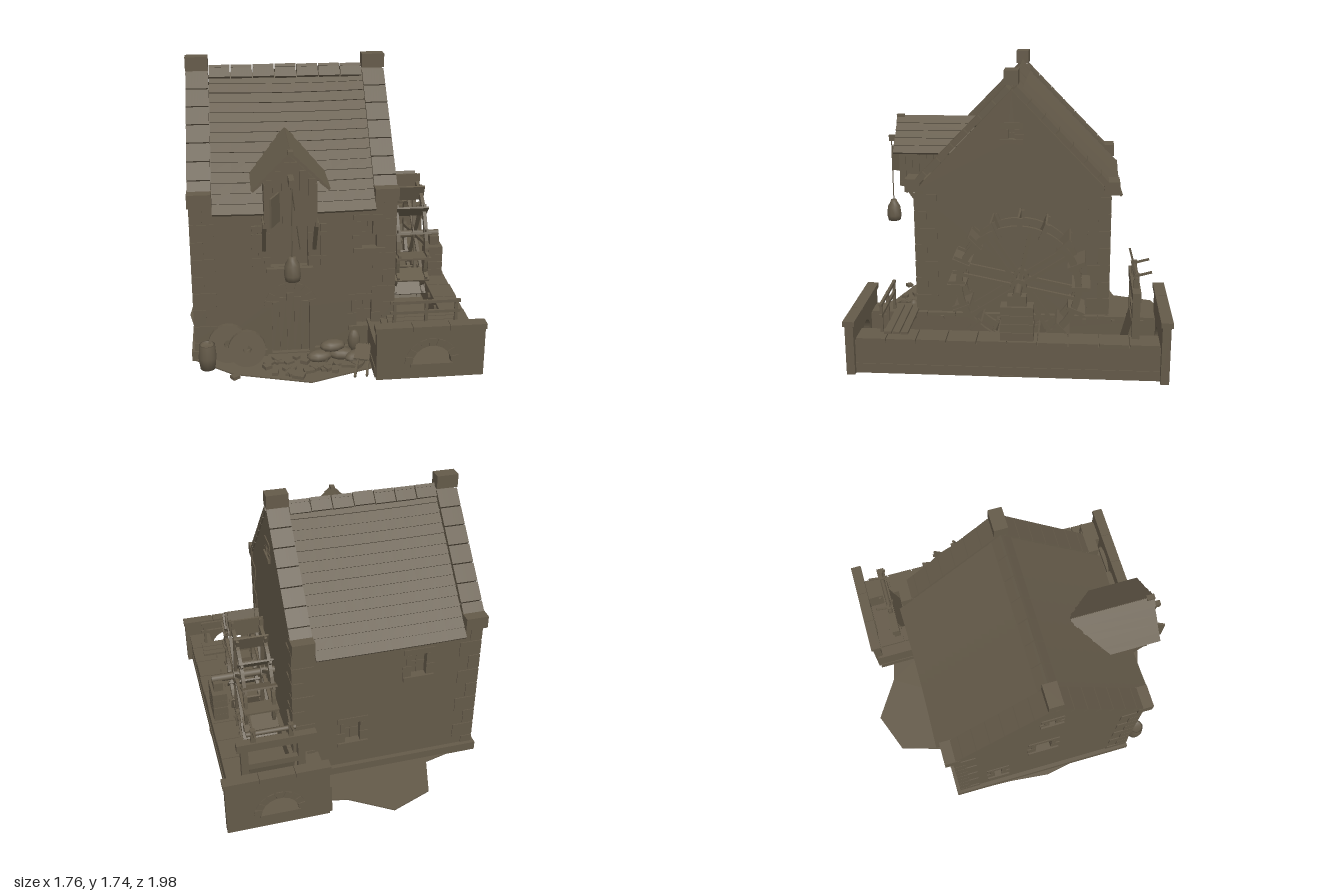
import * as THREE from 'three';

const stone = new THREE.MeshStandardMaterial({ color: 0x645a49 });
stone.name = 'weathered brown';

let seed = 7;
const rnd = () => (seed = (seed * 16807) % 2147483647) / 2147483647;
const jit = (a) => (rnd() - 0.5) * 2 * a;

function add(parent, name, geo, x = 0, y = 0, z = 0, rx = 0, ry = 0, rz = 0) {
  const m = new THREE.Mesh(geo, stone);
  m.name = name;
  m.position.set(x, y, z);
  m.rotation.set(rx, ry, rz);
  parent.add(m);
  return m;
}
const box = (p, name, w, h, d, ...t) => add(p, name, new THREE.BoxGeometry(w, h, d), ...t);
// Box given by its extents
const span = (p, name, x0, x1, y0, y1, z0, z1) =>
  box(p, name, x1 - x0, y1 - y0, z1 - z0, (x0 + x1) / 2, (y0 + y1) / 2, (z0 + z1) / 2);
// Square or round bar between two points
function bar(p, name, a, b, t, round = false) {
  const A = new THREE.Vector3(...a), B = new THREE.Vector3(...b), len = A.distanceTo(B);
  const geo = round ? new THREE.CylinderGeometry(t / 2, t / 2, len, 8) : new THREE.BoxGeometry(t, len, t);
  const m = add(p, name, geo);
  m.position.copy(A).add(B).multiplyScalar(0.5);
  m.quaternion.setFromUnitVectors(new THREE.Vector3(0, 1, 0), B.sub(A).normalize());
  return m;
}
const poly = (pts) => new THREE.Shape(pts.map(([x, y]) => new THREE.Vector2(x, y)));
const extrude = (shape, depth) => new THREE.ExtrudeGeometry(shape, { depth, bevelEnabled: false, curveSegments: 12 });
const group = (parent, name) => {
  const g = new THREE.Group();
  g.name = name;
  parent.add(g);
  return g;
};

// Opening: rectangle, or half-round head when arch is set
function hole({ x, y, w, h, arch }) {
  const p = new THREE.Path(), r = w / 2;
  p.moveTo(x - r, y);
  p.lineTo(x + r, y);
  if (arch) p.absarc(x, y + h - r, r, 0, Math.PI, false);
  else { p.lineTo(x + r, y + h); p.lineTo(x - r, y + h); }
  p.closePath();
  return p;
}
// Ring of arch stones
function voussoirs(p, x, y, r, n) {
  for (let i = 0; i < n; i++) {
    const a = ((i + 0.5) / n) * Math.PI;
    box(p, 'archStone', 0.045, (Math.PI * r) / n, 0.012, x + Math.cos(a) * (r + 0.022), y + Math.sin(a) * (r + 0.022), 0, 0, 0, a);
  }
}
// Wall panel in its own xy plane, outward is +z
function wall(parent, name, outline, openings, x, z, ry) {
  const g = group(parent, name);
  g.position.set(x, 0, z);
  g.rotation.y = ry;
  const s = poly(outline);
  openings.forEach((o) => s.holes.push(hole(o)));
  add(g, name + 'Panel', extrude(s, 0.05), 0, 0, -0.05);
  for (const o of openings) {
    if (o.plain) continue;
    const { x: cx, y, w, h } = o;
    span(g, 'sill', cx - w / 2 - 0.05, cx + w / 2 + 0.05, y - 0.03, y, -0.03, 0.016);
    span(g, 'lintel', cx - w / 2 - 0.05, cx + w / 2 + 0.05, y + h, y + h + 0.04, -0.03, 0.006);
    for (const k of [-1, 1]) for (let i = 0; i < 2; i++)
      box(g, 'jambStone', i ? 0.03 : 0.055, h / 2 - 0.004, 0.012, cx + k * (w / 2 + (i ? 0.015 : 0.027)), y + h * (0.25 + i / 2), 0);
    box(g, 'windowBar', 0.01, h, 0.01, cx, y + h / 2, -0.04);
    box(g, 'windowBar', w, 0.01, 0.01, cx, y + h / 2, -0.04);
  }
  return g;
}

const RZ = 0.03, RY = 1.66, SLOPE = 1.03, ANG = Math.atan(SLOPE);
// Slab on the main roof from s0 to s1 (horizontal distance from the ridge)
function roofSlab(p, name, side, x0, x1, s0, s1, drop, t, kick = 0, sag = 0) {
  const s = (s0 + s1) / 2, geo = new THREE.BoxGeometry(x1 - x0, t, (s1 - s0) * Math.hypot(1, SLOPE), 8, 1, 1);
  const pos = geo.attributes.position;
  for (let i = 0; i < pos.count; i++) {
    const u = (2 * pos.getX(i)) / (x1 - x0);
    pos.setY(i, pos.getY(i) - sag * (1 - u * u));
  }
  geo.computeVertexNormals();
  add(p, name, geo, (x0 + x1) / 2, RY - s * SLOPE - drop, RZ + side * s, side * (ANG - kick));
}

function buildHouse(root) {
  const g = group(root, 'house');
  const gable = (k, i) => [[k * -0.57 + i, 0], [k * 0.625 - i, 0], [k * 0.625 - i, 1.0], [k * RZ, 1.625 - i * k], [k * -0.57 + i, 1.0]];
  // Solid inside that closes the recessed openings
  add(g, 'innerCore', extrude(poly([[-0.53, 0], [0.585, 0], [0.585, 1], [RZ, 1.56], [-0.53, 1]]), 1.12), 0.34, 0, 0, 0, -Math.PI / 2);
  const rect = (a, b) => [[a, 0], [b, 0], [b, 1], [a, 1]];
  const front = wall(g, 'frontWall', rect(-0.82, 0.38), [
    { x: -0.245, y: 0.015, w: 0.23, h: 0.425, arch: true, plain: true },
    { x: -0.25, y: 0.59, w: 0.22, h: 0.27, plain: true },
    { x: 0.225, y: 0.69, w: 0.09, h: 0.17 }, { x: 0.2, y: 0.18, w: 0.09, h: 0.17 }], 0, 0.625, 0);
  wall(g, 'backWall', rect(-0.38, 0.82), [
    { x: 0.42, y: 0.68, w: 0.1, h: 0.16 }, { x: 0.0, y: 0.24, w: 0.1, h: 0.15 }], 0, -0.57, Math.PI);
  wall(g, 'leftGable', gable(1, 0), [
    { x: 0, y: 0.69, w: 0.1, h: 0.18 }, { x: -0.3, y: 0.24, w: 0.05, h: 0.17 },
    { x: RZ, y: 1.33, w: 0.04, h: 0.07 }], -0.82, 0, -Math.PI / 2);
  wall(g, 'rightGable', [[-0.625, 0], [0.57, 0], [0.57, 1], [-RZ, 1.625], [-0.625, 1]], [
    { x: -RZ, y: 1.33, w: 0.04, h: 0.06 }], 0.38, 0, Math.PI / 2);

  // Arched plank door, shutters, tie plates
  voussoirs(front, -0.245, 0.325, 0.115, 9);
  for (let i = 0; i < 5; i++)
    box(front, 'doorPlank', 0.042, 0.4 - Math.abs(i - 2) * 0.028, 0.01, -0.333 + i * 0.044, 0.2 - Math.abs(i - 2) * 0.014, -0.033);
  for (const k of [-1, 1]) {
    for (let i = 0; i < 3; i++) box(front, 'shutterPlank', 0.034, 0.26, 0.016, -0.25 + k * (0.128 + i * 0.037), 0.727, 0.01);
    for (const y of [0.65, 0.8]) box(front, 'shutterBatten', 0.11, 0.02, 0.008, -0.25 + k * 0.165, y, 0.02);
  }
  span(front, 'hatchSill', -0.385, -0.11, 0.56, 0.588, -0.03, 0.03);
  for (const x of [-0.65, 0.02]) box(front, 'tiePlate', 0.035, 0.03, 0.01, x, 0.91, 0.002);

  // Corner stones and plinth
  for (const kx of [-1, 1]) for (const kz of [-1, 1]) for (let i = 0; i < 9; i++) {
    const a = i % 2 ? 0.14 : 0.075, b = i % 2 ? 0.075 : 0.14;
    const x = kx < 0 ? -0.826 + a / 2 : 0.386 - a / 2, z = kz < 0 ? -0.576 + b / 2 : 0.631 - b / 2;
    box(g, 'cornerStone', a, 0.1, b, x, 0.06 + i * 0.109, z);
  }
  span(g, 'frontPlinthLeft', -0.845, -0.39, 0, 0.05, 0.55, 0.645);
  span(g, 'frontPlinthRight', -0.1, 0.38, 0, 0.05, 0.55, 0.645);
  span(g, 'backPlinth', -0.845, 0.38, 0, 0.06, -0.6, -0.5);
  span(g, 'leftPlinth', -0.845, -0.78, 0, 0.06, -0.6, 0.645);

  // Sagging tile rows, coping, kneelers, ridge
  const roof = group(g, 'roof');
  for (const side of [-1, 1]) {
    for (let i = 0; i < 14; i++) {
      const s = 0.01 + i * 0.0465;
      roofSlab(roof, 'tileRow', side, -0.69, 0.25, s, s + 0.056, 0.016 + jit(0.002), 0.018, 0.09, 0.012);
    }
    for (const x0 of [-0.83, 0.25]) {
      for (let i = 0; i < 7; i++) roofSlab(roof, 'copingStone', side, x0, x0 + 0.135, 0.02 + i * 0.085, 0.1 + i * 0.085, 0.005, 0.036);
      box(roof, 'kneeler', 0.14, 0.08, 0.095, x0 + 0.068, 1.035, RZ + side * 0.607);
    }
    for (let i = 0; i < 7; i++) roofSlab(roof, 'ridgeTile', side, -0.69 + i * 0.1343, -0.562 + i * 0.1343, -0.008, 0.052, -0.006 + jit(0.003), 0.02);
  }
  for (const x of [-0.762, 0.317]) box(roof, 'gableCap', 0.138, 0.085, 0.085, x, 1.698, 0.032);
}

function buildHoistHouse(root) {
  const g = group(root, 'hoistHouse'), cx = -0.25;
  add(g, 'body', extrude(poly([[-0.14, 0.915], [0.14, 0.915], [0.14, 1.18], [0, 1.32], [-0.14, 1.18]]), 0.45), cx, 0, 0.34);
  for (let i = 0; i < 6; i++) {
    const x = -0.125 + i * 0.05, top = 1.315 - Math.abs(x), low = 0.915 + jit(0.01);
    box(g, 'frontPlank', 0.045, top - low, 0.012, cx + x, (top + low) / 2, 0.795);
    for (const k of [-1, 1]) box(g, 'sidePlank', 0.01, 0.25, 0.042, cx + k * 0.144, 1.04, 0.56 + i * 0.046);
  }
  for (const k of [-1, 1]) {
    for (let i = 0; i < 5; i++) {
      const d = 0.022 + i * 0.042;
      box(g, 'roofBoard', 0.066, 0.014, 0.52 + jit(0.006), cx + k * d, 1.352 - d, 0.58, 0, 0, -k * (Math.PI / 4 - 0.08));
    }
    box(g, 'post', 0.022, 0.15, 0.02, cx + k * 0.148, 0.845, 0.64);
    bar(g, 'bracket', [cx + k * 0.148, 0.7, 0.63], [cx + k * 0.148, 0.92, 0.78], 0.022);
    box(g, 'floorBeam', 0.022, 0.025, 0.2, cx + k * 0.148, 0.92, 0.71);
  }
  // Open hatch door, hoist beam, rope and sack
  box(g, 'hatchDoor', 0.012, 0.17, 0.12, -0.342, 1.035, 0.857, 0, -0.45);
  box(g, 'hoistBeam', 0.03, 0.04, 0.16, cx, 1.2, 0.825);
  box(g, 'ridgeEnd', 0.03, 0.025, 0.05, cx, 1.35, 0.82);
  bar(g, 'rope', [cx, 1.19, 0.89], [cx, 0.76, 0.89], 0.007, true);
  bar(g, 'tailRope', [cx, 1.18, 0.87], [-0.19, 0.72, 0.68], 0.006, true);
  const sack = [[0, 0.62], [0.042, 0.625], [0.05, 0.66], [0.043, 0.72], [0.025, 0.75], [0.02, 0.768], [0, 0.768]];
  add(g, 'hangingSack', new THREE.LatheGeometry(sack.map(([r, y]) => new THREE.Vector2(r, y)), 10), cx, 0, 0.89);
}

function buildRace(root) {
  const g = group(root, 'millRace');
  span(g, 'floor', 0.22, 0.83, 0, 0.06, -0.9, 0.94);
  span(g, 'outerWall', 0.69, 0.825, 0, 0.2, -0.9, 0.94);
  span(g, 'innerWall', 0.225, 0.4, 0, 0.2, -0.9, 0.94);
  for (let i = 0; i < 10; i++) {
    const z = -0.86 + i * 0.178;
    span(g, 'outerCoping', 0.685, 0.832 + jit(0.004), 0.195, 0.222, z, z + 0.172);
    span(g, 'innerCoping', 0.3, 0.41, 0.195, 0.218, z, z + 0.172);
    for (const x of [0.418, 0.682]) box(g, 'peg', 0.02, 0.025, 0.02, x, 0.19, z + 0.08);
  }
  // End walls with arched openings
  for (const [z, k, h] of [[0.972, 1, 0.31], [-0.915, -1, 0.36]]) {
    const e = group(g, k > 0 ? 'frontEndWall' : 'backEndWall');
    e.position.z = z;
    if (k < 0) { e.rotation.y = Math.PI; e.position.x = 1.1; }
    const s = poly([[0.225, 0], [0.86, 0], [0.86, h], [0.225, h]]);
    s.holes.push(hole({ x: 0.55, y: 0.09, w: 0.23, h: 0.12, arch: true }));
    add(e, 'endPanel', extrude(s, 0.05), 0, 0, -0.05);
    voussoirs(e, 0.55, 0.095, 0.115, 9);
    box(e, 'archSill', 0.25, 0.02, 0.03, 0.55, 0.085, -0.005);
    for (let i = 0; i < 3; i++) span(e, 'capStone', 0.215 + i * 0.218, 0.43 + i * 0.218, h - 0.005, h + 0.026, -0.06, 0.01);
  }
  // Plank bridge with rail
  for (const z of [0.64, 0.69, 0.74]) box(g, 'bridgePlank', 0.43, 0.015, 0.043, 0.55 + jit(0.01), 0.231, z);
  for (const x of [0.36, 0.55, 0.73]) box(g, 'railPost', 0.018, 0.19, 0.018, x, 0.31, 0.78);
  for (const y of [0.33, 0.395]) box(g, 'rail', 0.42, 0.018, 0.016, 0.545, y, 0.78);
  // Sluice gate
  const s = group(g, 'sluice');
  for (const x of [0.37, 0.72]) box(s, 'sluicePost', 0.045, 0.32, 0.045, x, 0.35, -0.722);
  box(s, 'sluiceBeam', 0.49, 0.055, 0.05, 0.52, 0.485, -0.722);
  box(s, 'lowerBeam', 0.36, 0.04, 0.035, 0.545, 0.33, -0.722);
  box(s, 'gateBoard', 0.28, 0.24, 0.02, 0.55, 0.18, -0.68, -0.25);
  bar(s, 'windlass', [0.4, 0.57, -0.722], [0.7, 0.57, -0.722], 0.03, true);
  for (const x of [0.43, 0.66]) {
    box(s, 'windlassStand', 0.03, 0.1, 0.03, x, 0.55, -0.722);
    bar(s, 'lever', [x, 0.57, -0.72], [x + 0.01, 0.68, -0.69], 0.012);
    bar(s, 'lever', [x, 0.585, -0.72], [x, 0.61, -0.81], 0.012);
  }
}

function buildWheel(root) {
  const g = group(root, 'waterWheel');
  g.position.set(0.55, 0.495, -0.03);
  const ring = new THREE.Shape().absarc(0, 0, 0.375, 0, Math.PI * 2);
  ring.holes.push(new THREE.Path().absarc(0, 0, 0.335, 0, Math.PI * 2));
  const rim = new THREE.ExtrudeGeometry(ring, { depth: 0.022, bevelEnabled: false, curveSegments: 24 });
  for (const x of [-0.1, 0.078]) {
    add(g, 'rim', rim, x, 0, 0, 0, Math.PI / 2);
    for (let i = 0; i < 8; i++) {
      const a = (i / 8) * Math.PI * 2 + 0.2;
      bar(g, 'spoke', [x + 0.011, Math.sin(a) * 0.03, Math.cos(a) * 0.03], [x + 0.011, Math.sin(a) * 0.34, Math.cos(a) * 0.34], 0.02);
    }
    add(g, 'hub', new THREE.CylinderGeometry(0.05, 0.05, 0.035, 8), x + 0.011, 0, 0, 0, 0, Math.PI / 2);
  }
  for (let i = 0; i < 16; i++) {
    const a = (i / 16) * Math.PI * 2;
    box(g, 'paddle', 0.22, 0.012, 0.11, 0, Math.sin(a) * 0.37, Math.cos(a) * 0.37, -a);
    for (const x of [-0.089, 0.089]) box(g, 'paddleArm', 0.016, 0.018, 0.1, x, Math.sin(a + 0.04) * 0.37, Math.cos(a + 0.04) * 0.37, -a);
  }
  bar(g, 'axle', [-0.2, 0, 0], [0.25, 0, 0], 0.05, true);
  // Stone pier carrying the axle
  for (let i = 0; i < 4; i++) box(g, 'pierStone', 0.095, 0.05, 0.19 + jit(0.008), 0.215, -0.25 + i * 0.053, 0);
  box(g, 'bearing', 0.06, 0.06, 0.11, 0.215, -0.035, 0);
}

function buildYard(root) {
  const g = group(root, 'yard');
  const edge = [[-0.49, -0.64], [-0.41, -0.9], [-0.15, -1], [0.1, -0.84], [0.26, -0.8], [0.8, -0.5], [0.835, 0.05], [0.8, 0.4], [0.25, 0.83],
    [-0.15, 0.965], [-0.6, 0.83], [-0.82, 0.65], [-0.84, 0.25], [-0.877, 0.05], [-0.85, -0.22], [-0.84, -0.55]];
  add(g, 'ground', extrude(poly(edge), 0.008), 0, 0.008, 0, Math.PI / 2);
  // Millstones leaning at the wall
  for (const [x, z, r] of [[-0.625, 0.66, 0.118], [-0.515, 0.72, 0.11]]) {
    const s = new THREE.Shape().absarc(0, 0, r, 0, Math.PI * 2);
    s.holes.push(new THREE.Path().absarc(0, 0, 0.025, 0, Math.PI * 2));
    add(g, 'millstone', extrude(s, 0.04), x, r + 0.008, z, -0.15);
  }
  const staves = [[0, 0], [0.045, 0], [0.054, 0.075], [0.047, 0.155], [0.04, 0.155], [0.04, 0.14], [0, 0.14]];
  add(g, 'barrel', new THREE.LatheGeometry(staves.map(([r, y]) => new THREE.Vector2(r, y)), 14), -0.75, 0, 0.73);
  // Sack pile
  for (const [x, y, z, r] of [[-0.08, 0.035, 0.72, 0.2], [0.05, 0.04, 0.71, -0.1], [0.0, 0.09, 0.7, 0.15], [0.14, 0.035, 0.74, 0.5]])
    add(g, 'grainSack', new THREE.SphereGeometry(1, 10, 7), x, y, z, 0, r).scale.set(0.08, 0.035, 0.05);
  add(g, 'standingSack', new THREE.SphereGeometry(1, 10, 8), 0.13, 0.12, 0.7).scale.set(0.038, 0.07, 0.035);
  // Paving scraps and hand cart
  for (let i = 0; i < 34; i++) {
    const x = -0.4 + rnd() * 0.58, z = 0.69 + rnd() * (0.24 - Math.abs(x + 0.15) * 0.35);
    box(g, 'pavingStone', 0.035 + rnd() * 0.035, 0.016 + rnd() * 0.02, 0.03 + rnd() * 0.03, x, 0.014, z, 0, rnd() * 3);
  }
  box(g, 'looseStone', 0.045, 0.02, 0.04, -0.59, 0.012, 0.87, 0, 0.6);
  for (const x of [0, 0.07]) bar(g, 'cartShaft', [0.17 + x * 0.8, 0.1, 0.72], [0.1 + x, 0.03, 0.97], 0.012);
  box(g, 'cartBed', 0.09, 0.012, 0.13, 0.17, 0.085, 0.79, 0.25, -0.25);
}

export function createModel() {
  const root = new THREE.Group();
  root.name = 'waterMill';
  buildHouse(root);
  buildHoistHouse(root);
  buildRace(root);
  buildWheel(root);
  buildYard(root);
  return root;
}
